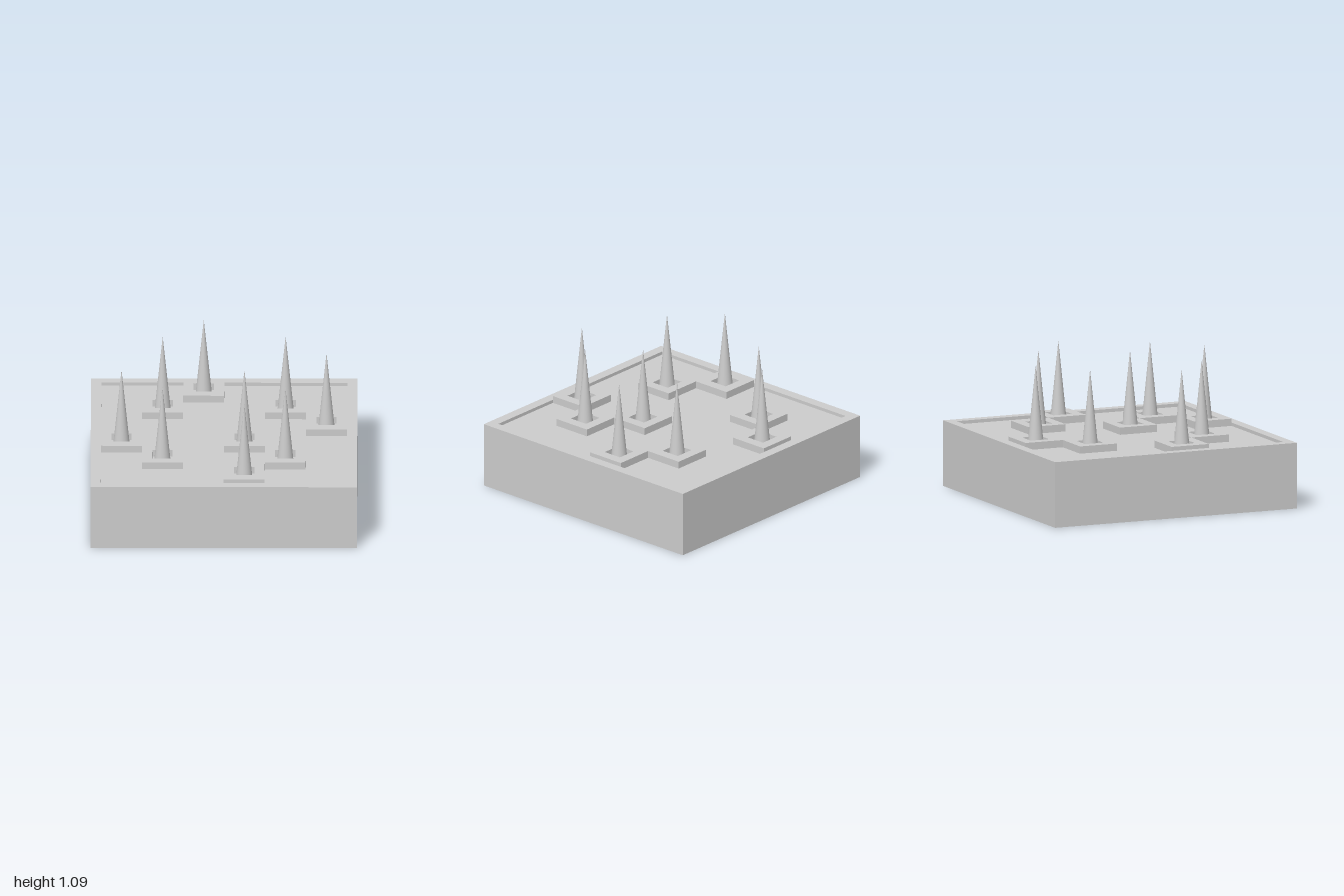
import * as THREE from 'three';

const FLOOR = 0.475;   // recessed floor height
const RIM = 0.5;       // top of the tray rim
const TILE_TOP = 0.53;
const TIP = 1.085;
const CELL = 0.3075;   // six cells fill the recess

const flat = new THREE.MeshStandardMaterial({ color: 0xcccccc, flatShading: true });
const smooth = new THREE.MeshStandardMaterial({ color: 0xcccccc });

// Square solid from a [half width, height] profile, swept round four sides
function squareSweep(profile) {
  const points = profile.map(([half, y]) => new THREE.Vector2(half * Math.SQRT2, y));
  return new THREE.LatheGeometry(points, 4, Math.PI / 4);
}

function addMesh(parent, name, geometry, material) {
  const mesh = new THREE.Mesh(geometry, material);
  mesh.name = name;
  parent.add(mesh);
  return mesh;
}

export function createModel() {
  const model = new THREE.Group();
  model.name = 'spikeTrap';

  // Block with a shallow square recess in its top
  const inner = CELL * 3;
  addMesh(model, 'base', squareSweep([
    [0, 0], [1, 0], [1, RIM], [inner, RIM], [inner, FLOOR], [0, FLOOR],
  ]), flat);

  // Raised tile with a square hole
  const tileGeometry = squareSweep([
    [CELL / 2, FLOOR], [CELL / 2, TILE_TOP], [0.076, TILE_TOP], [0.076, FLOOR],
  ]);

  // Spike standing on the recess floor
  const spikeGeometry = new THREE.ConeGeometry(0.062, TIP - FLOOR, 32, 1, true);
  spikeGeometry.translate(0, (TIP + FLOOR) / 2, 0);

  // Occupied cells as [column, row], from back left
  const cells = [
    [2, 0], [1, 1], [4, 1], [5, 2], [0, 3], [3, 3], [1, 4], [4, 4], [3, 5],
  ];
  for (const [column, row] of cells) {
    const unit = new THREE.Group();
    unit.name = 'spikeUnit';
    unit.position.set((column - 2.5) * CELL, 0, (row - 2.5) * CELL);
    addMesh(unit, 'tile', tileGeometry, flat);
    addMesh(unit, 'spike', spikeGeometry, smooth);
    model.add(unit);
  }
  return model;
}
